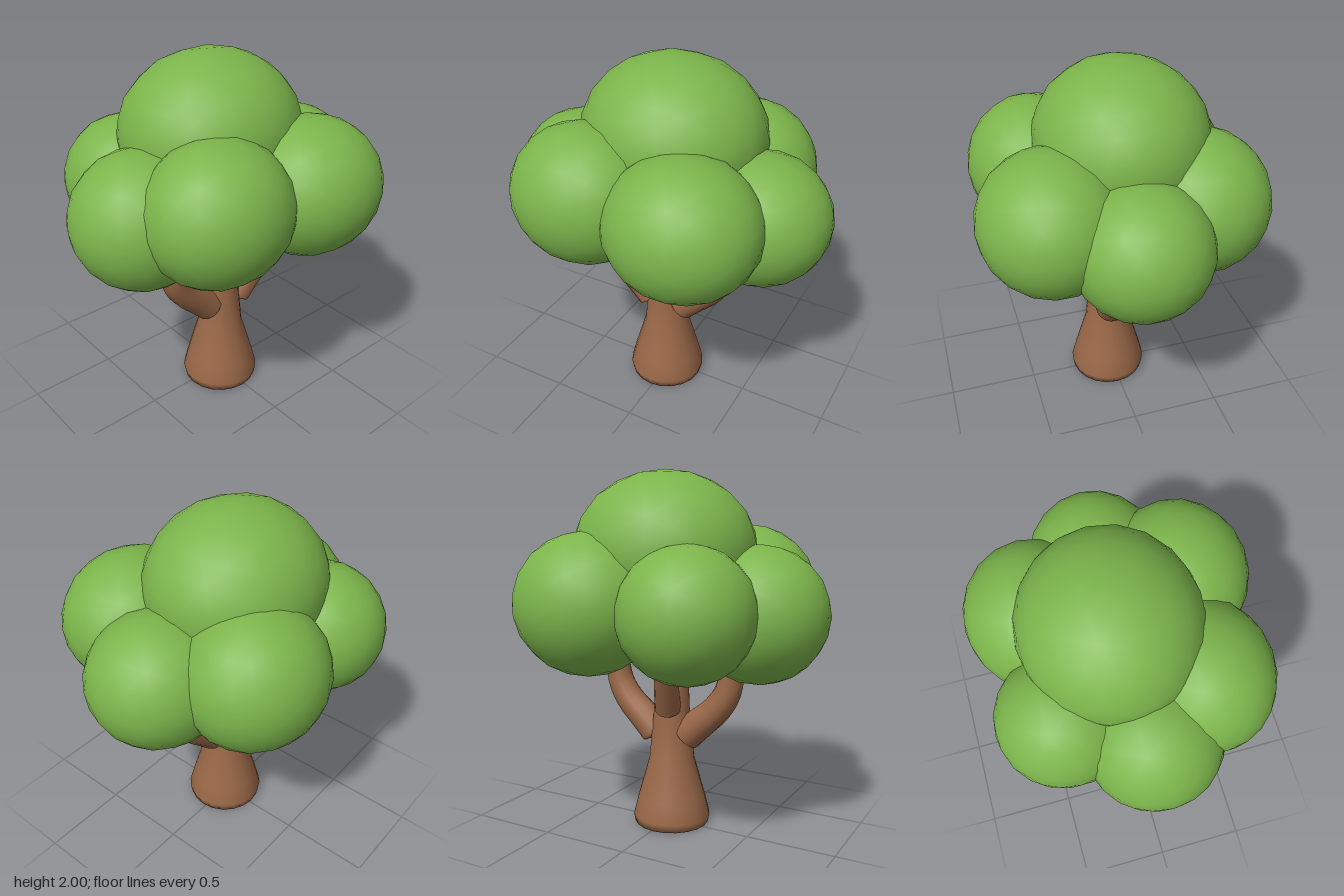
import * as THREE from 'three';

const leafGreen = new THREE.MeshStandardMaterial({ color: 0x7cb54b });
leafGreen.name = 'leafGreen';
const barkBrown = new THREE.MeshStandardMaterial({ color: 0x9a6848 });
barkBrown.name = 'barkBrown';

// Tapered limb along a curve, with both ends closed to a blunt tip
function limb(name, points, r0, r1) {
  const curve = new THREE.CatmullRomCurve3(points.map(p => new THREE.Vector3(...p)));
  const segments = 16, sides = 14;
  const geo = new THREE.TubeGeometry(curve, segments, 1, sides, false);
  const pos = geo.attributes.position;
  const v = new THREE.Vector3();
  for (let i = 0; i <= segments; i++) {
    const t = i / segments;
    const centre = curve.getPointAt(t);
    const radius = i === 0 || i === segments ? 0.001 : THREE.MathUtils.lerp(r0, r1, t);
    for (let j = 0; j <= sides; j++) {
      const k = i * (sides + 1) + j;
      v.fromBufferAttribute(pos, k).sub(centre).multiplyScalar(radius).add(centre);
      pos.setXYZ(k, v.x, v.y, v.z);
    }
  }
  const mesh = new THREE.Mesh(geo, barkBrown);
  mesh.name = name;
  return mesh;
}

// Rounded clump of leaves
function clump(name, centre, radii) {
  const mesh = new THREE.Mesh(new THREE.IcosahedronGeometry(1, 3), leafGreen);
  mesh.position.set(...centre);
  mesh.scale.set(...radii);
  mesh.name = name;
  return mesh;
}

export function createModel() {
  const tree = new THREE.Group();
  tree.name = 'tree';

  // Flared trunk with a closed, slightly bevelled foot
  const profile = [[0, 0], [0.213, 0], [0.222, 0.045], [0.195, 0.15], [0.13, 0.38],
    [0.117, 0.52], [0.102, 0.68], [0.093, 0.95], [0.088, 1.18], [0, 1.18]];
  const trunk = new THREE.Mesh(
    new THREE.LatheGeometry(profile.map(p => new THREE.Vector2(...p)), 20), barkBrown);
  trunk.position.set(-0.012, 0, 0.018);
  trunk.name = 'trunk';
  tree.add(trunk);

  // Mirrored side branches
  for (const [name, s] of [['leftBranch', 1], ['rightBranch', -1]]) {
    const points = [[0.07, 0.5, 0.024], [0.18, 0.6, 0.026], [0.28, 0.69, 0.03],
      [0.345, 0.79, 0.035], [0.375, 0.93, 0.04], [0.39, 1.05, 0.04]];
    tree.add(limb(name, points.map(([x, y, z]) => [x * s - 0.005, y, z]), 0.097, 0.062));
  }
  tree.add(limb('backBranch',
    [[-0.02, 0.66, -0.04], [-0.045, 0.78, -0.1], [-0.075, 0.92, -0.165], [-0.1, 1.06, -0.22]], 0.075, 0.06));

  // Foliage
  const foliage = new THREE.Group();
  foliage.name = 'foliage';
  foliage.add(
    clump('crownClump', [-0.01, 1.56, -0.06], [0.51, 0.44, 0.475]),
    clump('leftClump', [0.53, 1.235, 0.0], [0.38, 0.355, 0.37]),
    clump('rightClump', [-0.53, 1.24, 0.02], [0.38, 0.37, 0.37]),
    clump('frontLeftClump', [0.28, 1.315, 0.39], [0.415, 0.375, 0.385]),
    clump('frontRightClump', [-0.31, 1.33, 0.35], [0.41, 0.38, 0.37]),
    clump('backLeftClump', [0.265, 1.295, -0.4], [0.405, 0.385, 0.38]),
    clump('backRightClump', [-0.32, 1.27, -0.39], [0.36, 0.355, 0.36]),
  );
  tree.add(foliage);
  return tree;
}
